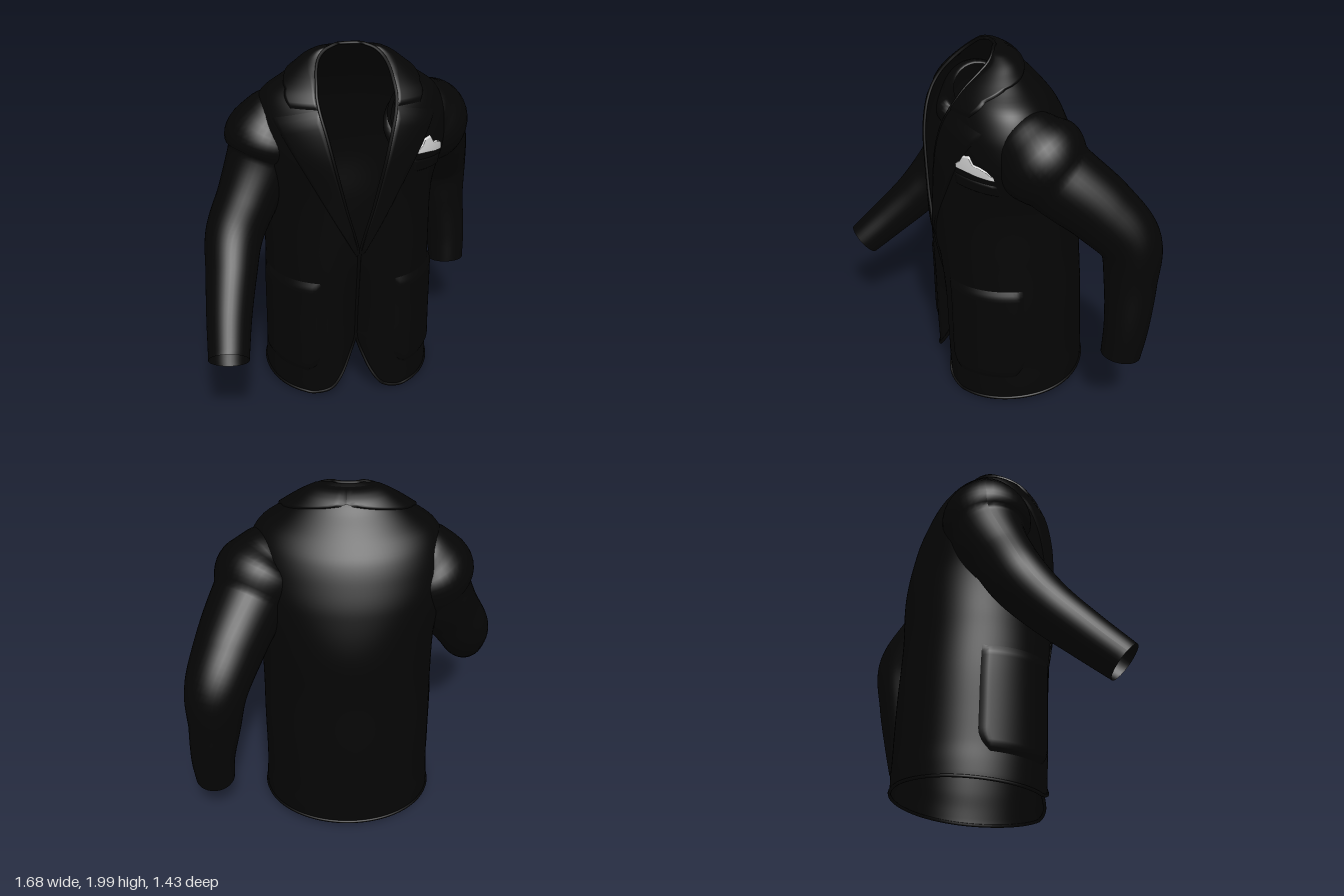
import * as THREE from 'three';

// Torso cross-sections: height, half width, front z, back z, half opening at the front
const ROWS = [
  [0, .482, .31, -.52, .26], [.03, .482, .312, -.52, .165], [.1, .48, .315, -.52, .1], [.2, .475, .32, -.515, .05],
  [.36, .473, .325, -.51, 0], [.6, .473, .33, -.5, 0], [.9, .47, .345, -.48, 0],
  [1.2, .48, .365, -.475, .075], [1.45, .535, .375, -.425, .135], [1.6, .53, .36, -.37, .17],
  [1.7, .5, .33, -.32, .195], [1.77, .455, .29, -.265, .205], [1.83, .37, .245, -.21, .2],
  [1.89, .29, .18, -.15, .19], [1.94, .22, .115, -.105, .165], [1.975, .14, .07, -.04, .12], [1.99, .07, .04, .005, .07],
];
const TOP = 1.99;
const clamp = THREE.MathUtils.clamp, lerp = THREE.MathUtils.lerp;

// Smooth interpolation of one column of the section table
function section(y, col) {
  const n = ROWS.length;
  let i = 0;
  while (i < n - 2 && y > ROWS[i + 1][0]) i++;
  const slope = (k) => {
    const a = ROWS[Math.max(k - 1, 0)], b = ROWS[Math.min(k + 1, n - 1)];
    return (b[col] - a[col]) / (b[0] - a[0]);
  };
  const a = ROWS[i], b = ROWS[i + 1], h = b[0] - a[0], t = (y - a[0]) / h;
  const t2 = t * t, t3 = t2 * t;
  return a[col] * (2 * t3 - 3 * t2 + 1) + slope(i) * h * (t3 - 2 * t2 + t)
    + b[col] * (3 * t2 - 2 * t3) + slope(i + 1) * h * (t3 - t2);
}

// The front is squarer at the skirt and rounder at the chest
const power = (y) => lerp(.75, 1.12, THREE.MathUtils.smoothstep(y, .7, 1.4));
const angleAt = (y, x) => Math.asin(clamp(x / section(y, 1), 0, 1) ** (1 / power(y)));
function gapAngle(y) {
  if (y >= .36 && y <= .9) return 0;
  return angleAt(y, Math.max(section(y, 4), 0));
}

// Point on the torso: angle 0 is the centre front, growing towards +x
function torsoPoint(y, a) {
  const s = Math.sin(a), c = Math.cos(a), zf = section(y, 2), zb = section(y, 3);
  const x = section(y, 1) * Math.sign(s) * Math.abs(s) ** (c > 0 ? power(y) : 1);
  let z = (zf + zb) / 2 + (zf - zb) / 2 * c;
  if (c > 0) z -= .085 * (1 - THREE.MathUtils.smoothstep(y, .3, 1)) * Math.exp(-((x / .09) ** 2));
  const hem = (.01 + .035 * (1 - c)) * Math.max(0, 1 - y / .6);
  return new THREE.Vector3(x, y + hem, z);
}

// Point lifted off the torso along its normal
function liftedPoint(y, a, lift) {
  const e = .004, yy = Math.min(y, TOP - e);
  const p = torsoPoint(y, a);
  const da = torsoPoint(yy, a + e).sub(torsoPoint(yy, a - e));
  const dy = torsoPoint(yy + e, a).sub(torsoPoint(yy - e, a));
  return p.addScaledVector(da.cross(dy).normalize(), lift);
}

// Smooth surface from point(u, v), u and v in 0..1
function grid(point, nu, nv) {
  const pos = [], index = [];
  for (let i = 0; i <= nu; i++) {
    for (let j = 0; j <= nv; j++) {
      pos.push(...point(i / nu, j / nv).toArray());
      if (i < nu && j < nv) {
        const k = i * (nv + 1) + j, m = k + nv + 1;
        index.push(k, k + 1, m, k + 1, m + 1, m);
      }
    }
  }
  const g = new THREE.BufferGeometry();
  g.setAttribute('position', new THREE.Float32BufferAttribute(pos, 3));
  g.setIndex(index);
  g.computeVertexNormals();
  return g;
}

// Raised cloth panel on the torso; outline(u, v) gives [height, angle]
function panel(outline, side, lift, nu = 30, nv = 24) {
  return grid((u, v) => {
    const [y, a] = outline(u, v);
    const d = Math.min(u, 1 - u, a > 3.1 ? 1 : 1 - v, v);
    return liftedPoint(y, a * side, .001 + lift * Math.min(1, d / .06));
  }, nu, nv);
}

// Piecewise linear lookup in [[key, value], ...]
function lookup(table, t) {
  let i = 0;
  while (i < table.length - 2 && t > table[i + 1][0]) i++;
  const [a, b] = [table[i], table[i + 1]];
  return lerp(a[1], b[1], clamp((t - a[0]) / (b[0] - a[0]), 0, 1));
}

// Sleeve swept along points [x, y, z, radius]
function sleeve(points) {
  const path = new THREE.CatmullRomCurve3(points.map((p) => new THREE.Vector3(p[0], p[1], p[2])));
  const radii = new THREE.CatmullRomCurve3(points.map((p) => new THREE.Vector3(p[3], 0, 0)));
  const ref = new THREE.Vector3(0, 0, 1);
  return grid((u, v) => {
    const t = path.getTangent(u), r = radii.getPoint(u).x, a = v * Math.PI * 2;
    const n = new THREE.Vector3().crossVectors(t, ref).normalize();
    const b = new THREE.Vector3().crossVectors(n, t);
    return path.getPoint(u).addScaledVector(n, r * Math.cos(a)).addScaledVector(b, r * Math.sin(a));
  }, 60, 40);
}

export function createModel() {
  const black = new THREE.MeshStandardMaterial({ color: 0x050505, side: THREE.DoubleSide });
  black.name = 'black cloth';
  const white = new THREE.MeshStandardMaterial({ color: 0xdadada, side: THREE.DoubleSide });
  white.name = 'white silk';
  const jacket = new THREE.Group();
  jacket.name = 'jacket';
  const add = (name, geometry, material = black) => {
    const mesh = new THREE.Mesh(geometry, material);
    mesh.name = name;
    jacket.add(mesh);
  };

  // Torso shell, open at the hem, neck and front; rows are denser at the hem and neck
  const height = (u) => TOP * (.5 * u + .5 * u * u * (3 - 2 * u));
  const ring = (y, t) => torsoPoint(y, lerp(gapAngle(y), Math.PI * 2 - gapAngle(y), t));
  add('torso', grid((u, v) => ring(height(u), v), 110, 96));

  // Rolled edge around hem, front opening and neck
  const edge = [], n = 60;
  for (let i = 0; i < n; i++) edge.push(ring(0, i / n));
  for (let i = 0; i < n; i++) edge.push(ring(height(i / n), 1));
  for (let i = 0; i < 6; i++) edge.push(ring(TOP, 1 - i / 6));
  for (let i = 0; i < n; i++) edge.push(ring(height(1 - i / n), 0));
  add('edgeRoll', new THREE.TubeGeometry(new THREE.CatmullRomCurve3(edge, true), 400, .009, 8, true));

  // Sleeves: the right one reaches forward, the left one swings back
  add('rightSleeve', sleeve([
    [-.33, 1.61, -.01, .15], [-.4, 1.565, -.01, .2], [-.468, 1.38, 0, .2], [-.57, 1.18, .08, .168],
    [-.652, 1.01, .16, .157], [-.686, .84, .3, .137], [-.715, .68, .47, .12], [-.735, .525, .65, .106],
  ]));
  add('leftSleeve', sleeve([
    [.33, 1.61, -.03, .15], [.41, 1.565, -.07, .203], [.505, 1.42, -.2, .203], [.6, 1.25, -.4, .185],
    [.665, 1.08, -.54, .165], [.69, .85, -.55, .14], [.722, .6, -.53, .12], [.727, .425, -.507, .108],
  ]));

  const collarEdge = [[1.72, .8], [1.8, 1.05], [1.85, 1.5], [1.89, 2.3], [1.925, Math.PI], [2, Math.PI]];
  for (const [name, side] of [['left', 1], ['right', -1]]) {
    // Lapel running from the closing point up to the notch
    add(name + 'Lapel', panel((u, v) => {
      const y = .9 + u * (.76 + .06 * (1 - v));
      const outer = angleAt(y, .012 + .42 * u);
      return [y, lerp(gapAngle(y), Math.max(outer, gapAngle(y)), v)];
    }, side, .01));

    // Collar wrapping round to the centre back
    add(name + 'Collar', panel((u, v) => {
      const y = lerp(1.72, 1.98, u);
      return [y, lerp(gapAngle(y), lookup(collarEdge, y), v)];
    }, side, .01));

    // Patch pocket with rounded lower corners
    add(name + 'Pocket', panel((u, v) => {
      const y = lerp(.15, .74, u);
      const inset = .16 * Math.max(0, 1 - u / .2) ** 2;
      return [y, lerp(angleAt(y, .21) + inset, 1.46 - inset, v)];
    }, side, .017));
  }

  // Breast pocket welt, sloping down to the side
  add('breastPocketWelt', panel((u, v) => {
    const y = 1.355 + .065 * u - .025 * v;
    return [y, angleAt(y, lerp(.3, .48, v))];
  }, 1, .006, 10, 16));

  // Folded pocket square with two peaks
  const peaks = [[0, 1.47], [.1, 1.485], [.2, 1.5], [.28, 1.53], [.48, 1.537], [.6, 1.497], [.75, 1.492], [.9, 1.475], [1, 1.445]];
  add('pocketSquare', panel((u, v) => {
    const y = lerp(1.455 - .03 * v, lookup(peaks, v), u);
    return [y, angleAt(y, lerp(.31, .482, v))];
  }, 1, .009, 16, 40), white);

  return jacket;
}
